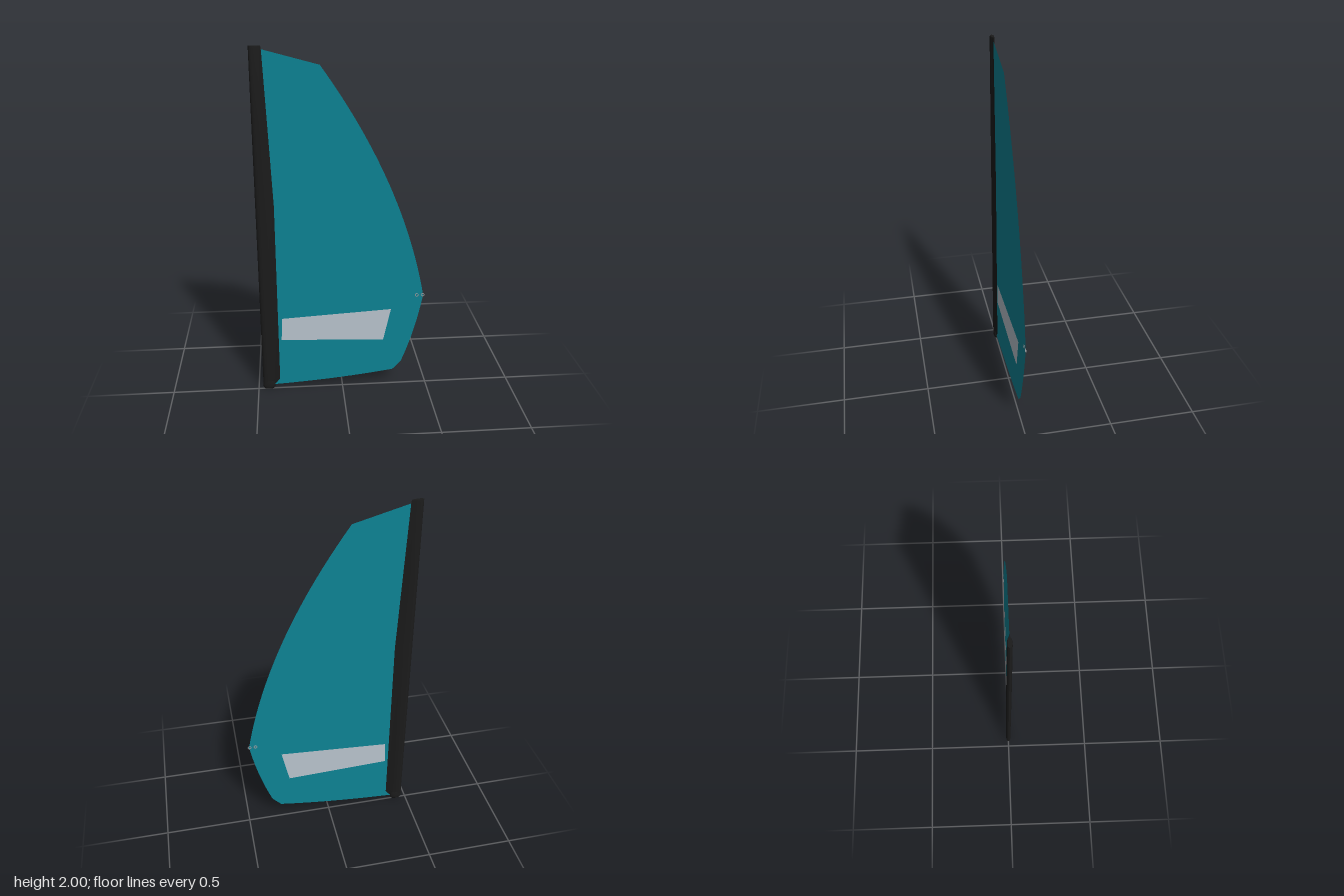
import * as THREE from 'three';
import { toCreasedNormals } from 'three/addons/utils/BufferGeometryUtils.js';

const mat = (name, color, side = THREE.FrontSide) => {
  const m = new THREE.MeshStandardMaterial({ color, side });
  m.name = name;
  return m;
};

function outline(points) {
  return points.map(([x, y]) => new THREE.Vector2(x, y));
}

// Loft a luff sleeve: rounded nose, parallel cheeks and a fine trailing edge
function sleeveGeometry(levels) {
  const pos = [], index = [];
  const nose = -0.472;
  const n = 14;
  for (const [y, tail, thick] of levels) {
    const w = tail - nose;
    const half = [[0, 0], [0.04, 0.55], [0.13, 0.9], [0.25, 1], [0.5, 0.95], [0.68, 0.6], [0.82, 0.25]];
    const ring = [...half.map(([u, v]) => [u, v]), [1, 0], ...half.slice(1).reverse().map(([u, v]) => [u, -v])];
    for (const [u, v] of ring) pos.push(nose + u * w, y, v * thick);
  }
  for (let j = 0; j < levels.length - 1; j++) {
    for (let i = 0; i < n; i++) {
      const a = j * n + i, b = j * n + (i + 1) % n;
      index.push(a, b, b + n, a, b + n, a + n);
    }
  }
  const top = (levels.length - 1) * n;
  for (let i = 1; i < n - 1; i++) {
    index.push(0, i + 1, i, top, top + i, top + i + 1);
  }
  const g = new THREE.BufferGeometry();
  g.setAttribute('position', new THREE.Float32BufferAttribute(pos, 3));
  g.setIndex(index);
  return toCreasedNormals(g, 0.7);
}

export function createModel() {
  const group = new THREE.Group();
  const cloth = mat('teal cloth', 0x0d8495, THREE.DoubleSide);
  const film = mat('clear grey film', 0xbac5cf, THREE.DoubleSide);
  const black = mat('black sleeve', 0x1b1b1b);
  const metal = mat('grey metal', 0x9a9fa3);
  const add = (name, geometry, material, x = 0, y = 0, z = 0) => {
    const m = new THREE.Mesh(geometry, material);
    m.name = name;
    m.position.set(x, y, z);
    group.add(m);
    return m;
  };

  // Sail panel with curved leech and foot, cut out for the window
  const windowPoints = outline([[-0.355, 0.325], [0.24, 0.3], [0.282, 0.5], [-0.35, 0.463]]);
  const sail = new THREE.Shape();
  sail.moveTo(-0.42, 1.985);
  sail.lineTo(-0.115, 1.902);
  sail.quadraticCurveTo(0.335, 1.27, 0.467, 0.585);
  sail.quadraticCurveTo(0.428, 0.35, 0.35, 0.152);
  sail.lineTo(0.3, 0.096);
  sail.quadraticCurveTo(-0.02, 0.045, -0.42, 0.025);
  sail.closePath();
  sail.holes.push(new THREE.Path(windowPoints));
  add('sail', new THREE.ShapeGeometry(sail, 24), cloth);
  add('window', new THREE.ShapeGeometry(new THREE.Shape(windowPoints)), film);

  // Luff sleeve, narrowing to the head
  add('luffSleeve', sleeveGeometry([
    [0.035, -0.395, 0.013], [0.065, -0.372, 0.014], [1.15, -0.372, 0.014],
    [1.6, -0.391, 0.013], [1.99, -0.408, 0.012], [2.0, -0.412, 0.01],
  ]), black);

  // Rounded foot cap at the bottom of the sleeve
  const cap = new THREE.LatheGeometry(outline([
    [0, 0], [0.026, 0.002], [0.034, 0.012], [0.036, 0.03], [0.034, 0.052], [0.028, 0.06], [0, 0.06],
  ]), 20);
  add('footCap', cap, black, -0.437, 0, 0).scale.z = 0.42;

  // Pair of clew eyelets
  for (const x of [0.43, 0.464]) {
    add('clewEyelet', new THREE.TorusGeometry(0.0085, 0.0025, 8, 20), metal, x, 0.585, 0);
  }
  return group;
}
